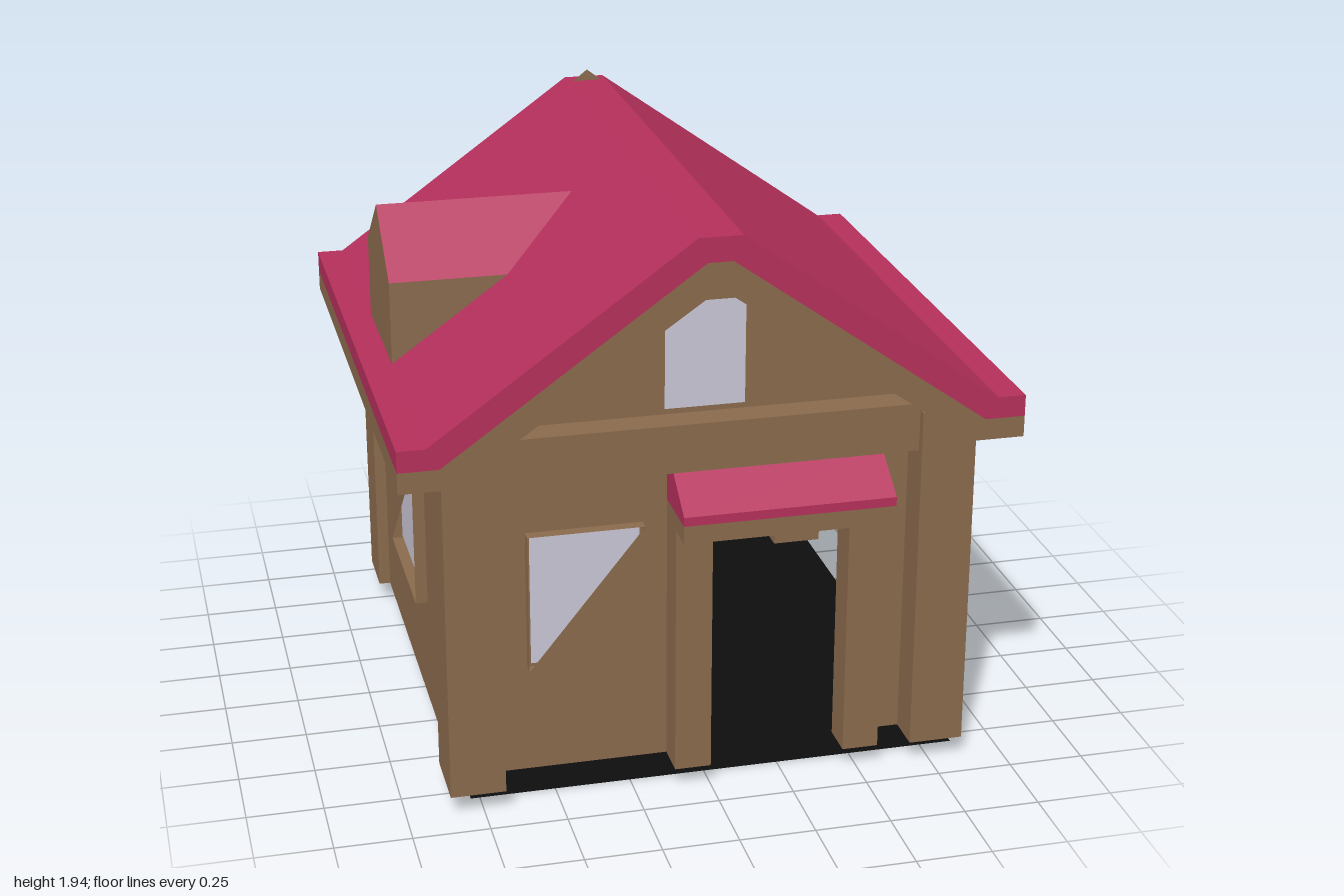
import * as THREE from 'three';

const wood = new THREE.MeshStandardMaterial({ name: 'brown wood', color: 0x8a6a4d });
const red = new THREE.MeshStandardMaterial({ name: 'crimson roof', color: 0xb4305b, side: THREE.DoubleSide });
const glass = new THREE.MeshStandardMaterial({ name: 'pale glass', color: 0xc9c6d6, side: THREE.DoubleSide });
const black = new THREE.MeshStandardMaterial({ name: 'black floor', color: 0x0d0d0d, side: THREE.DoubleSide });

function add(parent, name, geometry, material) {
  const mesh = new THREE.Mesh(geometry, material);
  mesh.name = name;
  parent.add(mesh);
  return mesh;
}

// Flat convex faces, each a counter-clockwise list of [x, y, z]; optionally visible from behind too
function faces(parent, name, material, polys, both = false) {
  const pos = [];
  for (const p of polys) {
    for (let i = 1; i < p.length - 1; i++) {
      pos.push(...p[0], ...p[i], ...p[i + 1]);
      if (both) pos.push(...p[0], ...p[i + 1], ...p[i]);
    }
  }
  const g = new THREE.BufferGeometry();
  g.setAttribute('position', new THREE.Float32BufferAttribute(pos, 3));
  g.computeVertexNormals();
  return add(parent, name, g, material);
}

// Box given by its extents
function box(parent, name, material, x0, x1, y0, y1, z0, z1) {
  const g = new THREE.BoxGeometry(x1 - x0, y1 - y0, z1 - z0);
  g.translate((x0 + x1) / 2, (y0 + y1) / 2, (z0 + z1) / 2);
  return add(parent, name, g, material);
}

const shapeOf = (pts) => new THREE.Shape(pts.map(([x, y]) => new THREE.Vector2(x, y)));

// Projecting window box: a rim, a pane at the back and half of the front boarded over
function windowBox(parent, name, w, h, board) {
  const group = new THREE.Group();
  group.name = name;
  const a = w / 2, b = h / 2, d = 0.04;
  const c = [[-a, -b], [a, -b], [a, b], [-a, b]];
  const rim = c.map(([x, y], i) => {
    const [u, v] = c[(i + 1) % 4];
    return [[x, y, 0], [u, v, 0], [u, v, d], [x, y, d]];
  });
  faces(group, 'windowRim', wood, rim, true);
  faces(group, 'windowBoard', wood, [board.map((i) => [...c[i], d])], true);
  faces(group, 'windowPane', glass, [c.map(([x, y]) => [x * 0.94, y * 0.94, 0.006])]);
  parent.add(group);
  return group;
}

export function createModel() {
  const house = new THREE.Group();
  house.name = 'house';

  // Floor
  faces(house, 'floor', black, [[[-0.78, 0, 0.8], [0.86, 0, 0.8], [0.86, 0, -0.96], [-0.78, 0, -0.96]]]);

  // Front wall with doorway
  const zf = 0.77;
  const front = shapeOf([[-0.82, 0.07], [0, 0.07], [0, 0.93], [0.45, 0.93], [0.45, 0.07], [0.82, 0.07], [0.82, 1.2], [0, 1.79], [-0.82, 1.2]]);
  add(house, 'frontWall', new THREE.ShapeGeometry(front), wood).position.z = zf;
  faces(house, 'gableWindow', glass, [[[-0.13, 1.29, zf + 0.006], [0.13, 1.29, zf + 0.006], [0.13, 1.64, zf + 0.006], [-0.13, 1.64, zf + 0.006]]]);
  box(house, 'frontBeam', wood, -0.68, 0.68, 1.11, 1.27, zf, 0.87);

  // Back wall and gable
  faces(house, 'backWall', wood, [[[0.88, 0.045, -0.94], [-0.85, 0.045, -0.94], [-0.85, 1.26, -0.94], [0.88, 1.26, -0.94]]], true);
  faces(house, 'backGable', wood, [[[0.88, 1.26, -0.94], [-0.88, 1.26, -0.94], [0, 1.94, -0.94]]], true);

  // Side walls, corner posts and side windows
  for (const s of [1, -1]) {
    const x = 0.82 * s;
    const wall = [[x, 0.07, 0.8 * s], [x, 0.07, -0.8 * s], [x, 1.26, -0.8 * s], [x, 1.26, 0.8 * s]];
    faces(house, 'sideWall', wood, [wall]);
    const [x0, x1] = s > 0 ? [0.68, 0.86] : [-0.86, -0.68];
    box(house, 'frontPost', wood, x0, x1, 0.07, 1.25, 0.67, 0.9);
    box(house, 'backPost', wood, x0, x1, 0.07, 1.25, -0.93, -0.72);
    const win = windowBox(house, 'sideWindow', 0.54, 0.48, s > 0 ? [1, 2, 3] : [0, 2, 3]);
    win.position.set(x, 0.69, -0.02);
    win.rotation.y = s * Math.PI / 2;
  }

  // Front window
  windowBox(house, 'frontWindow', 0.38, 0.47, [0, 1, 2]).position.set(-0.39, 0.675, zf);

  // Roof sheet swept from its cross-section
  const top = [[-1, 1.3], [-0.91, 1.3], [-0.07, 1.9], [0.07, 1.9], [0.91, 1.3], [1, 1.3]];
  const mid = [[-1, 1.23], [-0.87, 1.23], [-0.04, 1.82], [0.04, 1.82], [0.87, 1.23], [1, 1.23]];
  const low = [[-1, 1.16], [-0.83, 1.16], [0, 1.735], [0.83, 1.16], [1, 1.16]];
  const zr = 0.95, zb = -1;
  const sheet = top.slice(1).map(([u, v], i) => {
    const [x, y] = top[i];
    return [[x, y, zr], [u, v, zr], [u, v, zb], [x, y, zb]];
  });
  faces(house, 'roofSheet', red, sheet);

  // Front verge boards and side eave boards
  const band = (a, b) => new THREE.ShapeGeometry(shapeOf([...b, ...[...a].reverse()]));
  add(house, 'redVerge', band(top, mid), red).position.z = zr;
  add(house, 'brownVerge', band(mid, low), wood).position.z = zr;
  for (const s of [1, -1]) {
    const eave = (y0, y1) => [[s, y0, zr * (s > 0 ? 1 : 0) + zb * (s > 0 ? 0 : 1)], [s, y0, s > 0 ? zb : zr], [s, y1, s > 0 ? zb : zr], [s, y1, s > 0 ? zr : zb]];
    faces(house, 'redEave', red, [eave(1.23, 1.3)]);
    faces(house, 'brownEave', wood, [eave(1.16, 1.23)], true);
  }

  // Dormer on the right slope
  const xd = -0.905, z0 = -0.275, z1 = 0.22, zm = -0.025;
  faces(house, 'dormerWalls', wood, [
    [[xd, 1.3, z0], [xd, 1.3, z1], [xd, 1.58, z1], [xd, 1.77, zm], [xd, 1.58, z0]],
    [[xd, 1.3, z1], [-0.515, 1.58, z1], [xd, 1.58, z1]],
    [[xd, 1.3, z0], [xd, 1.58, z0], [-0.515, 1.58, z0]],
  ]);
  faces(house, 'dormerRoof', red, [
    [[xd, 1.58, z1], [-0.515, 1.58, z1], [-0.25, 1.77, zm], [xd, 1.77, zm]],
    [[xd, 1.77, zm], [-0.25, 1.77, zm], [-0.515, 1.58, z0], [xd, 1.58, z0]],
  ]);

  // Porch: posts, lintel and sloping canopy
  for (const x of [-0.12, 0.45]) box(house, 'porchPost', wood, x, x + 0.12, 0.07, 0.92, zf, 0.89);
  box(house, 'porchLintel', wood, -0.12, 0.57, 0.92, 0.98, zf, 0.99);
  const canopy = new THREE.ExtrudeGeometry(
    shapeOf([[-0.99, 0.98], [-zf, 0.98], [-zf, 1.11], [-0.84, 1.11], [-0.99, 1.01]]),
    { depth: 0.69, bevelEnabled: false });
  canopy.rotateY(Math.PI / 2);
  add(house, 'porchCanopy', canopy, red).position.x = -0.12;

  return house;
}
